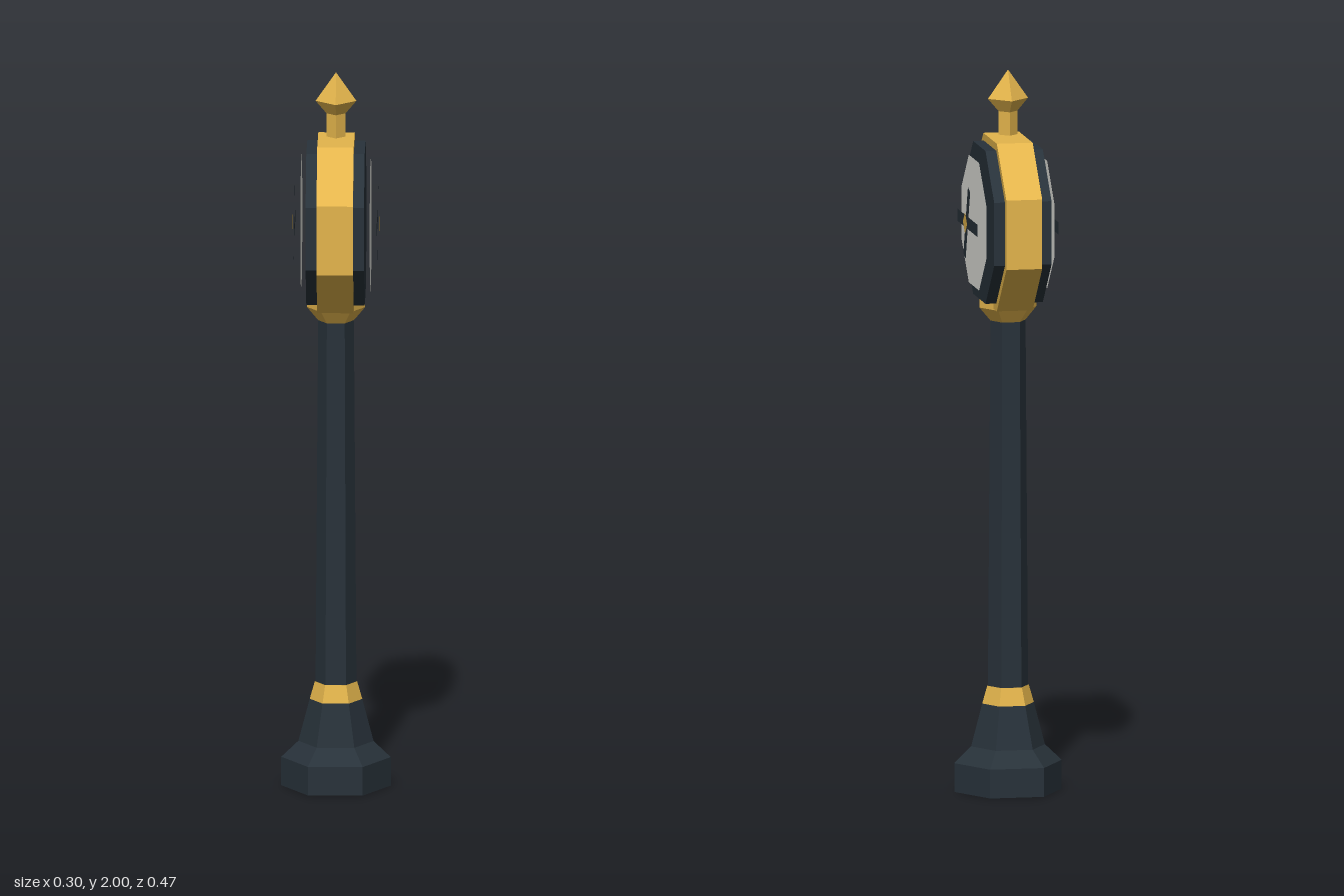
import * as THREE from 'three';

const mat = (name, color, side = THREE.FrontSide) =>
  Object.assign(new THREE.MeshStandardMaterial({ color, flatShading: true, side }), { name });

export function createModel() {
  const iron = mat('darkIron', 0x28323a, THREE.DoubleSide);
  const gold = mat('gold', 0xe4b54c, THREE.DoubleSide);
  const white = mat('dialWhite', 0xe6e7e1, THREE.DoubleSide);

  const model = new THREE.Group();
  model.name = 'streetClock';
  const add = (parent, name, geometry, material) => {
    const mesh = new THREE.Mesh(geometry, material);
    mesh.name = name;
    parent.add(mesh);
    return mesh;
  };

  // Turned part from [radius, y] pairs, with corners on the x axis
  const turned = (name, points, sides, material) =>
    add(model, name, new THREE.LatheGeometry(
      points.map(([r, y]) => new THREE.Vector2(r, y)), sides, Math.PI / 2), material);

  // Post
  turned('base', [[0.15, 0], [0.15, 0.08], [0.103, 0.125], [0.072, 0.243]], 6, iron);
  turned('lowerCollar', [[0.072, 0.243], [0.058, 0.292]], 6, gold);
  turned('shaft', [[0.056, 0.292], [0.049, 1.305]], 6, iron);
  turned('upperCollar', [[0.049, 1.305], [0.08, 1.342], [0.08, 1.365]], 6, gold);

  // Finial
  turned('finialStem', [[0.026, 1.82], [0.026, 1.89]], 4, gold);
  turned('finialPoint', [[0.026, 1.885], [0.056, 1.92], [0, 2]], 4, gold);

  // Clock head: an octagon whose dials face left and right
  const head = new THREE.Group();
  head.name = 'clockHead';
  head.position.y = 1.578;
  model.add(head);

  const octagon = (apothem) => new THREE.Shape(Array.from({ length: 8 }, (_, i) => {
    const a = (i + 0.5) * Math.PI / 4, r = apothem / Math.cos(Math.PI / 8);
    return new THREE.Vector2(r * Math.cos(a), r * Math.sin(a));
  }));
  const slab = (apothem, depth) =>
    new THREE.ExtrudeGeometry(octagon(apothem), { depth, bevelEnabled: false })
      .translate(0, 0, -depth / 2).rotateY(Math.PI / 2);

  add(head, 'case', slab(0.2325, 0.1), gold);
  add(head, 'innerCase', slab(0.212, 0.16), iron);

  // Thin dial, hands and hub stacked outward on each side
  for (const [label, s] of [['left', 1], ['right', -1]]) {
    const face = (name, geometry, x, material) => {
      const mesh = add(head, label + name, geometry, material);
      mesh.position.x = s * x;
      mesh.rotation.y = s * Math.PI / 2;
      return mesh;
    };
    face('Dial', new THREE.ShapeGeometry(octagon(0.177)), 0.095, white);
    face('MinuteHand', new THREE.PlaneGeometry(0.286, 0.034), 0.113, iron);
    face('HourHand', new THREE.PlaneGeometry(0.034, 0.205).rotateZ(-s * 0.32), 0.115, iron);
    face('Hub', new THREE.CircleGeometry(0.03, 4), 0.12, gold);
  }

  return model;
}
